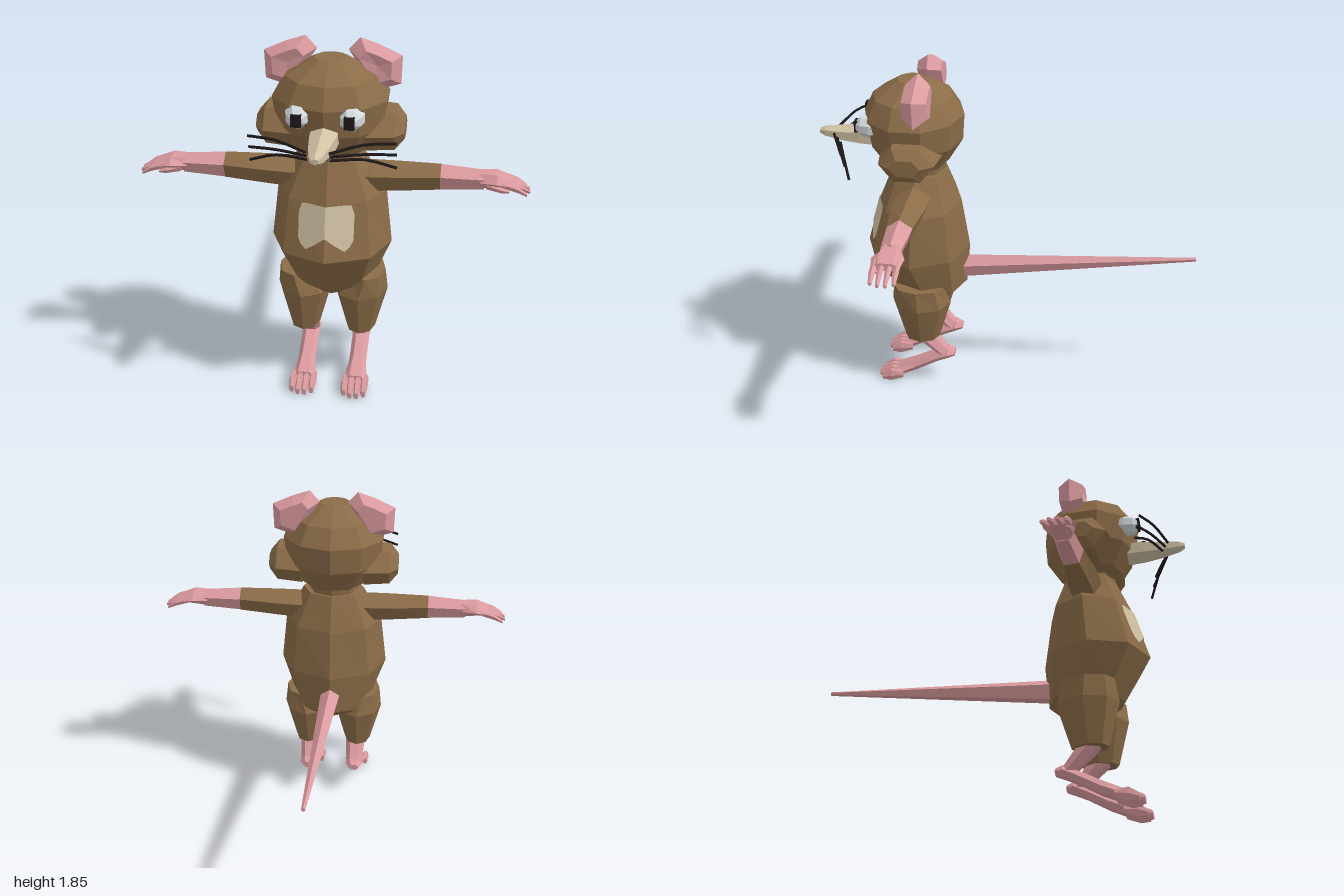
import * as THREE from 'three';

const mat = (name, color) => Object.assign(new THREE.MeshStandardMaterial({ color }), { name });

// Reverse every triangle of a non-indexed geometry
function flip(g) {
  const p = g.attributes.position;
  for (let i = 0; i < p.count; i += 3) {
    const a = new THREE.Vector3().fromBufferAttribute(p, i + 1);
    const b = new THREE.Vector3().fromBufferAttribute(p, i + 2);
    p.setXYZ(i + 1, b.x, b.y, b.z);
    p.setXYZ(i + 2, a.x, a.y, a.z);
  }
  g.computeVertexNormals();
  return g;
}

function fromPoints(pts) {
  const g = new THREE.BufferGeometry().setFromPoints(pts);
  g.computeVertexNormals();
  return g;
}

// Faceted solid through polygon sections [t, u, v, ru, rv] along an axis:
// y -> (u, v) = (x, z);  x -> (z, y);  z -> (x, y)
function loft(axis, n, phase, sections) {
  const place = {
    y: (t, u, v) => new THREE.Vector3(u, t, v),
    x: (t, u, v) => new THREE.Vector3(t, v, u),
    z: (t, u, v) => new THREE.Vector3(u, v, t),
  }[axis];
  const rings = sections.map(([t, u, v, ru, rv]) => Array.from({ length: n }, (_, i) => {
    const a = phase + (i / n) * Math.PI * 2;
    return place(t, u + ru * Math.cos(a), v + rv * Math.sin(a));
  }));
  const pts = [];
  for (let r = 0; r + 1 < rings.length; r++) {
    for (let i = 0; i < n; i++) {
      const j = (i + 1) % n, A = rings[r], B = rings[r + 1];
      pts.push(A[i], A[j], B[j], A[i], B[j], B[i]);
    }
  }
  const cap = (R, back) => {
    for (let i = 1; i + 1 < n; i++) pts.push(R[0], ...(back ? [R[i + 1], R[i]] : [R[i], R[i + 1]]));
  };
  cap(rings[0], true);
  cap(rings[rings.length - 1], false);
  // Turn the solid outward if its signed volume is negative
  let volume = 0;
  for (let i = 0; i < pts.length; i += 3) volume += pts[i].dot(pts[i + 1].clone().cross(pts[i + 2]));
  const g = fromPoints(pts);
  return volume < 0 ? flip(g) : g;
}

export function createModel() {
  const model = new THREE.Group();
  model.name = 'mouse';
  const fur = mat('brownFur', 0x8b6c48);
  const skin = mat('pinkSkin', 0xdb9b9f);
  const cream = mat('cream', 0xd0c1a3);
  const white = mat('eyeWhite', 0xd3d9dd);
  const black = mat('black', 0x1e1719);
  cream.side = THREE.DoubleSide;

  const add = (name, g, m) => {
    const mesh = new THREE.Mesh(g, m);
    mesh.name = name;
    model.add(mesh);
  };
  // Add a left part (+x) and its mirror image
  const pair = (name, g, m) => {
    add('left' + name, g, m);
    add('right' + name, flip(g.clone().scale(-1, 1, 1)), m);
  };
  const UP = Math.PI / 2;

  // Torso and neck
  add('body', loft('y', 8, 0, [
    [0.53, 0, 0.44, 0.13, 0.13], [0.59, 0, 0.44, 0.21, 0.2], [0.82, 0, 0.5, 0.3, 0.28],
    [1.09, 0, 0.48, 0.27, 0.22], [1.28, 0, 0.475, 0.17, 0.145],
  ]), fur);
  add('neck', loft('y', 8, 0, [[1.24, 0, 0.475, 0.14, 0.13], [1.36, 0, 0.48, 0.14, 0.15]]), fur);

  // Belly patch lying just over the front of the torso: [x, top, bottom]
  const columns = [[-0.135, 1.04, 0.92], [-0.12, 1.085, 0.89], [-0.095, 1.088, 0.87], [-0.05, 1.088, 0.9],
    [0, 1.088, 0.94], [0.05, 1.088, 0.9], [0.095, 1.088, 0.87], [0.12, 1.085, 0.89], [0.135, 1.04, 0.92]];
  const onBelly = (x, y) => {
    const k = (y - 0.82) / 0.27;
    return new THREE.Vector3(x, y, 0.787 - 0.08 * k - Math.abs(x) * 0.375);
  };
  const patch = [];
  for (let i = 0; i + 1 < columns.length; i++) {
    const [x0, t0, b0] = columns[i], [x1, t1, b1] = columns[i + 1];
    const a = onBelly(x0, b0), b = onBelly(x1, b1), c = onBelly(x1, t1), d = onBelly(x0, t0);
    patch.push(a, b, c, a, c, d);
  }
  add('bellyPatch', fromPoints(patch), cream);

  // Head and snout
  add('head', loft('y', 10, UP, [
    [1.28, 0, 0.48, 0.1, 0.1], [1.33, 0, 0.49, 0.19, 0.17], [1.45, 0, 0.49, 0.265, 0.245],
    [1.59, 0, 0.495, 0.285, 0.26], [1.69, 0, 0.5, 0.22, 0.205], [1.77, 0, 0.5, 0.08, 0.075],
  ]), fur);
  add('snout', loft('z', 6, UP, [
    [0.68, 0, 1.45, 0.075, 0.065], [0.78, 0, 1.45, 0.07, 0.06], [0.88, 0, 1.45, 0.055, 0.045],
    [0.97, 0, 1.455, 0.036, 0.03], [1, 0, 1.457, 0.02, 0.014],
  ]), cream);

  // Cheeks
  pair('Cheek', loft('x', 6, 0, [
    [0.17, 0.485, 1.43, 0.16, 0.115], [0.31, 0.485, 1.43, 0.14, 0.105], [0.355, 0.485, 1.43, 0.08, 0.05],
  ]), fur);

  // Ears: outline swollen in the middle, tapering to front and back faces
  const outline = [[0.13, 1.85], [0.075, 1.79], [0.2, 1.59], [0.325, 1.63], [0.33, 1.77], [0.22, 1.82]];
  const earRings = [[0.375, 0.6], [0.44, 1], [0.5, 0.6]].map(([z, s]) => outline.map(([x, y]) =>
    new THREE.Vector3(0.215 + (x - 0.215) * s, 1.73 + (y - 1.73) * s, z)));
  const ear = [];
  for (let i = 0; i < 6; i++) {
    const j = (i + 1) % 6;
    for (let r = 0; r < 2; r++) {
      const A = earRings[r], B = earRings[r + 1];
      ear.push(A[i], A[j], B[j], A[i], B[j], B[i]);
    }
    ear.push(new THREE.Vector3(0.215, 1.73, 0.375), earRings[0][j], earRings[0][i]);
    ear.push(new THREE.Vector3(0.215, 1.73, 0.49), earRings[2][i], earRings[2][j]);
  }
  pair('Ear', fromPoints(ear), skin);

  // Eyes
  pair('Eye', loft('z', 8, Math.PI / 8, [
    [0.64, 0.13, 1.55, 0.055, 0.05], [0.7, 0.128, 1.55, 0.06, 0.055],
    [0.745, 0.124, 1.55, 0.052, 0.05], [0.77, 0.122, 1.55, 0.03, 0.03],
  ]), white);
  pair('Pupil', loft('z', 4, Math.PI / 4, [
    [0.74, 0.122, 1.55, 0.034, 0.042], [0.78, 0.122, 1.55, 0.034, 0.042],
  ]), black);

  // Whiskers: start, middle and end heights
  [[1.462, 1.49, 1.478], [1.44, 1.437, 1.417], [1.415, 1.405, 1.345]].forEach(([a, b, c], i) => {
    const dz = 0.015 * (1 - i);
    const path = new THREE.CatmullRomCurve3([
      new THREE.Vector3(0.05, a, 0.9 + dz), new THREE.Vector3(0.2, b, 0.845 + dz),
      new THREE.Vector3(0.34, c, 0.785 + dz),
    ]);
    pair('Whisker' + (i + 1), new THREE.TubeGeometry(path, 6, 0.007, 5).toNonIndexed(), black);
  });

  // Arms, hands and fingers
  pair('Sleeve', loft('x', 5, UP, [
    [0.12, 0.48, 1.17, 0.08, 0.08], [0.2, 0.48, 1.17, 0.095, 0.08],
    [0.32, 0.48, 1.175, 0.093, 0.075], [0.53, 0.48, 1.18, 0.068, 0.066],
  ]), fur);
  pair('Forearm', loft('x', 5, UP, [[0.53, 0.48, 1.18, 0.067, 0.065], [0.74, 0.48, 1.178, 0.053, 0.05]]), skin);
  pair('Hand', loft('x', 6, 0, [
    [0.72, 0.48, 1.178, 0.052, 0.045], [0.8, 0.48, 1.186, 0.08, 0.036], [0.86, 0.48, 1.175, 0.07, 0.022],
  ]), skin);
  pair('Thumb', loft('x', 5, UP, [
    [0.75, 0.52, 1.165, 0.02, 0.02], [0.82, 0.535, 1.152, 0.02, 0.015], [0.86, 0.53, 1.142, 0.01, 0.008],
  ]), skin);
  for (let i = 0; i < 4; i++) {
    const z = 0.424 + i * 0.037, tip = i === 0 || i === 3 ? 0.945 : 0.96;
    pair('Finger' + (i + 1), loft('x', 5, UP, [
      [0.82, z, 1.183, 0.016, 0.018], [0.9, z, 1.158, 0.016, 0.016], [tip, z, 1.132, 0.01, 0.009],
    ]), skin);
  }

  // Legs and feet
  pair('Thigh', loft('y', 8, 0, [
    [0.3, 0.145, 0.475, 0.075, 0.095], [0.53, 0.145, 0.47, 0.137, 0.16], [0.645, 0.18, 0.478, 0.09, 0.137],
  ]), fur);
  pair('Shin', loft('y', 6, 0, [[0.33, 0.135, 0.49, 0.06, 0.075], [0.18, 0.135, 0.35, 0.045, 0.045]]), skin);
  pair('Foot', loft('z', 6, 0, [
    [0.295, 0.135, 0.19, 0.03, 0.02], [0.335, 0.135, 0.19, 0.05, 0.036], [0.4, 0.135, 0.16, 0.045, 0.036],
    [0.52, 0.135, 0.095, 0.045, 0.04], [0.63, 0.135, 0.045, 0.06, 0.036],
  ]), skin);
  for (let i = 0; i < 4; i++) {
    const x = 0.084 + i * 0.034, end = i === 0 || i === 3 ? 0.71 : 0.73;
    pair('Toe' + (i + 1), loft('z', 6, 0, [
      [0.59, x, 0.045, 0.016, 0.022], [0.66, x, 0.036, 0.019, 0.041], [end, x, 0.022, 0.013, 0.02],
    ]), skin);
  }

  // Tail
  add('tail', loft('z', 5, UP, [[0.25, 0, 0.685, 0.056, 0.066], [-1, 0, 0.81, 0.011, 0.011]]), skin);

  return model;
}
